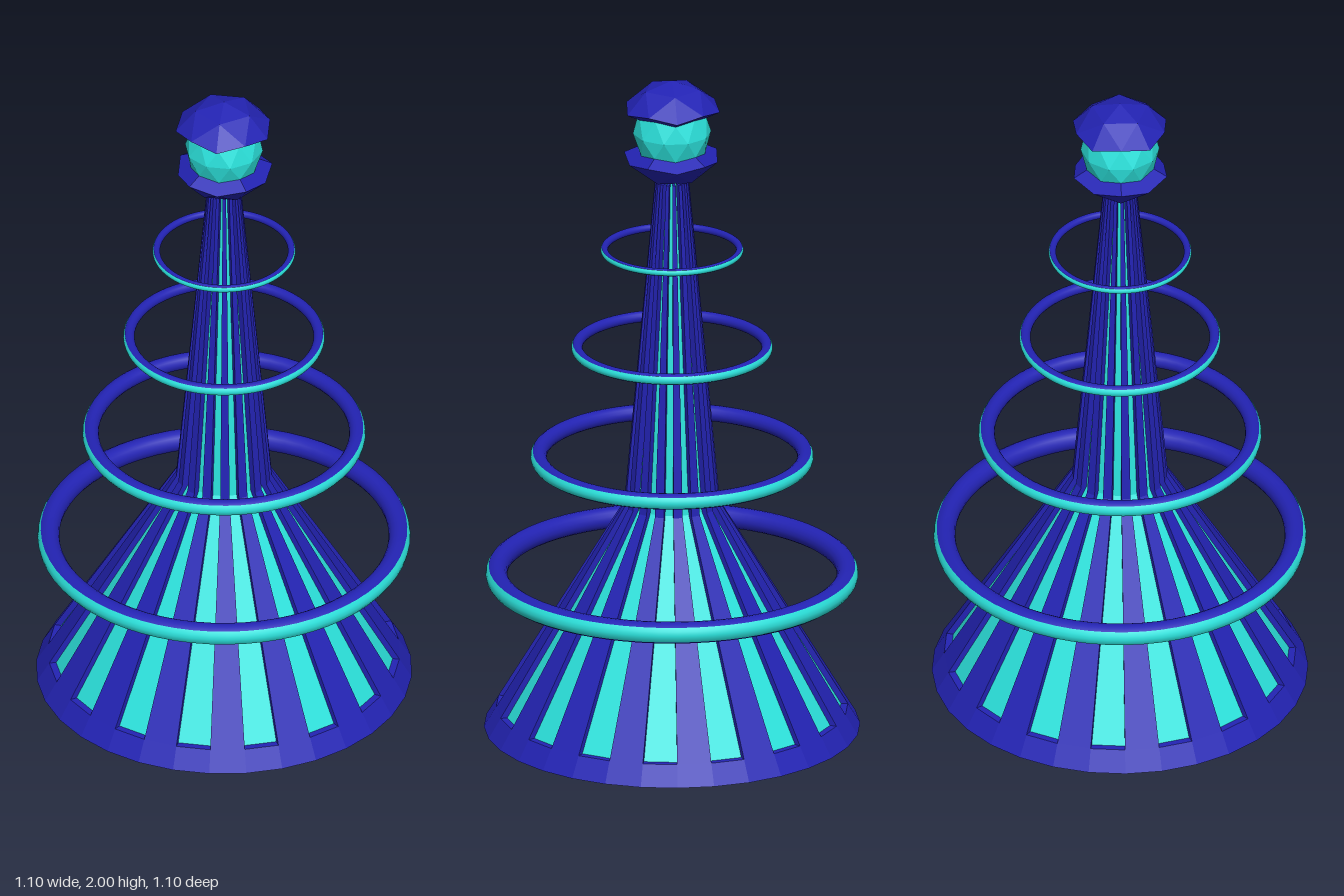
import * as THREE from 'three';

const blue = new THREE.MeshStandardMaterial({ color: 0x2323b4, flatShading: true });
const cyan = new THREE.MeshStandardMaterial({ color: 0x2be2dc, flatShading: true });
const blueSmooth = new THREE.MeshStandardMaterial({ color: 0x2323b4 });
const cyanSmooth = new THREE.MeshStandardMaterial({ color: 0x2be2dc });

// Mesh from a flat list of corner points, three per triangle
function facetMesh(name, points, material) {
  const geometry = new THREE.BufferGeometry().setFromPoints(points);
  geometry.computeVertexNormals();
  const mesh = new THREE.Mesh(geometry, material);
  mesh.name = name;
  return mesh;
}

const quad = (list, a, b, c, d) => list.push(a, b, c, a, c, d);

// Flared tower: raised ribs alternating with recessed panels
function buildTower() {
  const SIDES = 32, DEPTH = 0.02;
  const outer = [[0.55, 0], [0.514, 0.06], [0.14, 0.69], [0.05, 1.69]];
  const inner = outer.map(([r, y]) => [r - DEPTH, y]);
  const at = ([r, y], i) => {
    const a = (i / SIDES) * Math.PI * 2;
    return new THREE.Vector3(r * Math.sin(a), y, r * Math.cos(a));
  };
  const ribs = [], panels = [];
  for (let i = 0; i < SIDES; i++) {
    const j = i + 1, recessed = i % 2 === 1;
    // bottom disc and plinth band
    ribs.push(new THREE.Vector3(), at(outer[0], j), at(outer[0], i));
    quad(ribs, at(outer[0], i), at(outer[0], j), at(outer[1], j), at(outer[1], i));
    if (recessed) quad(ribs, at(outer[1], i), at(outer[1], j), at(inner[1], j), at(inner[1], i));
    for (let k = 1; k < 3; k++) {
      const p = recessed ? inner : outer;
      quad(recessed ? panels : ribs, at(p[k], i), at(p[k], j), at(p[k + 1], j), at(p[k + 1], i));
      if (recessed) {
        // groove side walls
        quad(ribs, at(outer[k], i), at(inner[k], i), at(inner[k + 1], i), at(outer[k + 1], i));
        quad(ribs, at(inner[k], j), at(outer[k], j), at(outer[k + 1], j), at(inner[k + 1], j));
      }
    }
    const top = recessed ? inner[3] : outer[3];
    ribs.push(at(top, i), at(top, j), new THREE.Vector3(0, top[1], 0));
  }
  const tower = new THREE.Group();
  tower.name = 'tower';
  tower.add(facetMesh('towerRibs', ribs, blue), facetMesh('recessedPanels', panels, cyan));
  return tower;
}

// Floating ring with a coloured outer band
function buildRing(y, radius, tube) {
  const arc = (from, to, steps) => Array.from({ length: steps + 1 }, (_, i) => {
    const a = THREE.MathUtils.degToRad(from + ((to - from) * i) / steps);
    return new THREE.Vector2(radius + tube * Math.cos(a), tube * Math.sin(a));
  });
  const ring = new THREE.Group();
  ring.name = 'floatingRing';
  const band = new THREE.Mesh(new THREE.LatheGeometry(arc(-45, 45, 4), 64), cyanSmooth);
  band.name = 'ringOuterBand';
  const body = new THREE.Mesh(new THREE.LatheGeometry(arc(45, 315, 12), 64), blueSmooth);
  body.name = 'ringBody';
  ring.add(band, body);
  ring.position.y = y;
  return ring;
}

// Faceted finial: two shell caps around a smaller core
function buildFinial() {
  const R = 0.16, CORE = 0.72;
  const ico = new THREE.IcosahedronGeometry(R, 1);
  ico.rotateZ(Math.atan(2 / (1 + Math.sqrt(5)))); // corner to the pole
  ico.rotateY(Math.PI);
  const pos = ico.getAttribute('position');
  const shell = [], core = [];
  for (let i = 0; i < pos.count; i += 3) {
    const tri = [0, 1, 2].map((k) => new THREE.Vector3().fromBufferAttribute(pos, i + k));
    const sameSide = tri.every((v) => v.y > 0.4 * R) || tri.every((v) => v.y < -0.4 * R);
    if (!sameSide) {
      core.push(...tri.map((v) => v.multiplyScalar(CORE)));
      continue;
    }
    shell.push(...tri);
    // ledge from the cap rim inward to the core
    for (let k = 0; k < 3; k++) {
      const a = tri[k], b = tri[(k + 1) % 3];
      if (Math.abs(a.y) < 0.6 * R && Math.abs(b.y) < 0.6 * R) {
        quad(shell, b, a, a.clone().multiplyScalar(CORE), b.clone().multiplyScalar(CORE));
      }
    }
  }
  const finial = new THREE.Group();
  finial.name = 'finial';
  finial.add(facetMesh('finialCaps', shell, blue), facetMesh('finialCore', core, cyan));
  finial.position.y = 1.84;
  return finial;
}

export function createModel() {
  const model = new THREE.Group();
  model.name = 'ringedTower';
  model.add(buildTower(), buildFinial());
  const rings = [[0.47, 0.513, 0.032], [0.833, 0.39, 0.024], [1.172, 0.278, 0.0165], [1.475, 0.198, 0.011]];
  for (const [y, radius, tube] of rings) model.add(buildRing(y, radius, tube));
  return model;
}
